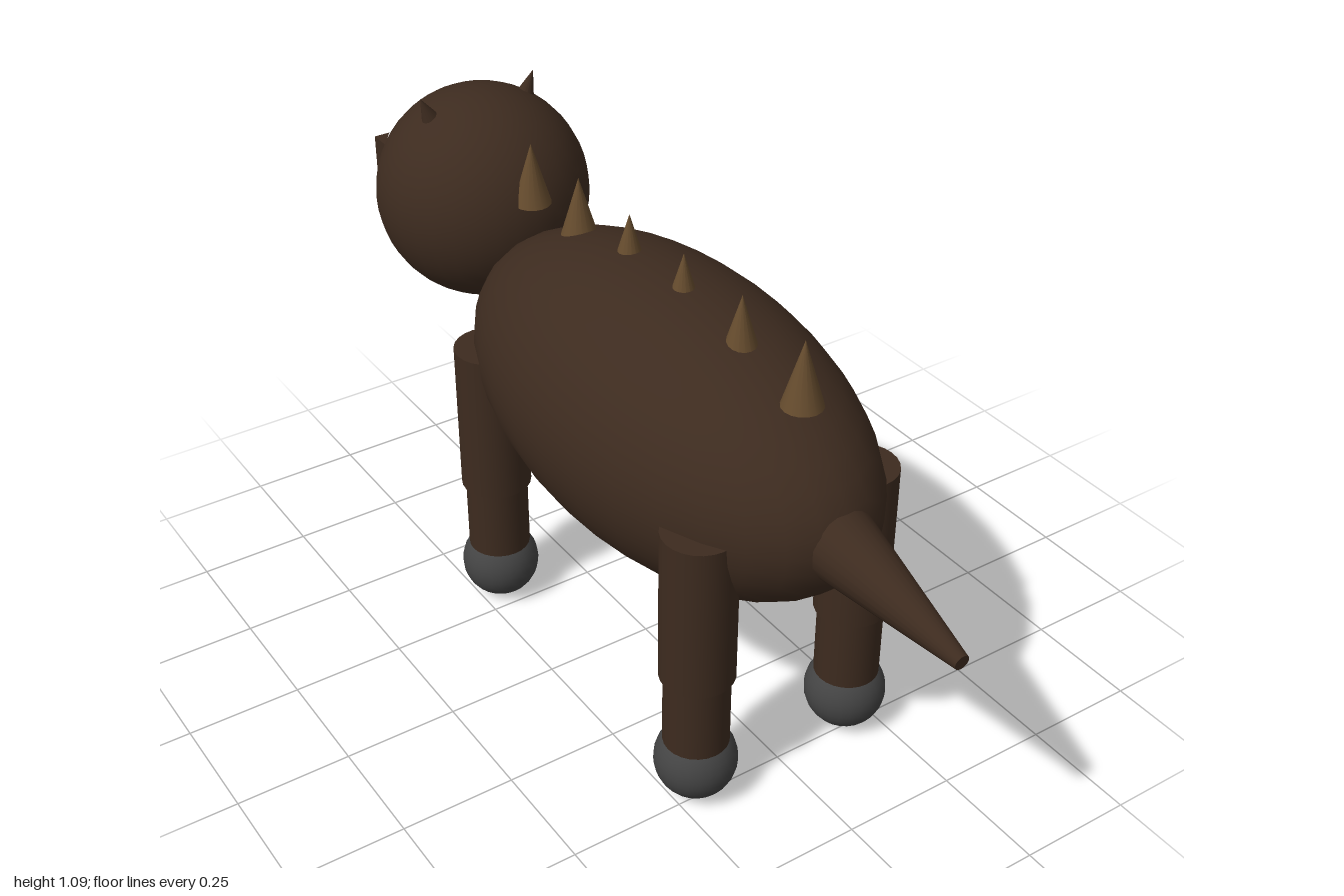
import * as THREE from 'three';

const mat = (name, color) => {
  const m = new THREE.MeshStandardMaterial({ color });
  m.name = name;
  return m;
};

export function createModel() {
  const hide = mat('dark brown hide', 0x3d2b1f);
  const horn = mat('tan horn', 0x664c2e);
  const hoof = mat('grey hoof', 0x444444);
  const white = mat('eye white', 0xffffff);

  const model = new THREE.Group();
  model.name = 'spikedBeast';

  const add = (name, geometry, material, x, y, z, parent = model) => {
    const mesh = new THREE.Mesh(geometry, material);
    mesh.name = name;
    mesh.position.set(x, y, z);
    parent.add(mesh);
    return mesh;
  };

  // Long oval body
  add('body', new THREE.SphereGeometry(0.303, 32, 24), hide, 0, 0.66, 0.08).scale.z = 2;

  // Head and blocky snout, facing -z
  add('head', new THREE.SphereGeometry(0.242, 32, 24), hide, 0, 0.836, -0.668);
  add('snout', new THREE.BoxGeometry(0.208, 0.14, 0.26), hide, 0, 0.79, -0.87);

  // Eyes and small ears tilted outwards
  const eyeGeo = new THREE.SphereGeometry(0.03, 16, 12);
  const earGeo = new THREE.ConeGeometry(0.036, 0.1, 16);
  for (const [side, s] of [['left', -1], ['right', 1]]) {
    add(side + 'Eye', eyeGeo, white, s * 0.1, 0.9, -0.872);
    add(side + 'Ear', earGeo, hide, s * 0.123, 1.044, -0.67).rotation.z = -s * 0.4;
  }

  // Tapered tail, drooping slightly towards the tip
  const start = new THREE.Vector3(0, 0.668, 0.6);
  const end = new THREE.Vector3(0, 0.62, 0.998);
  const dir = end.clone().sub(start);
  const tail = add('tail', new THREE.CylinderGeometry(0.016, 0.086, dir.length(), 24), hide, 0, 0, 0);
  tail.position.copy(start).add(end).multiplyScalar(0.5);
  tail.quaternion.setFromUnitVectors(new THREE.Vector3(0, 1, 0), dir.normalize());

  // Row of spikes along the back
  const spikeGeo = new THREE.ConeGeometry(0.042, 0.14, 16);
  for (let i = 0; i < 6; i++) {
    add('backSpike', spikeGeo, horn, 0, 0.966, 0.52 - i * 0.193);
  }

  // Four legs: thigh, shin and round foot
  const thighGeo = new THREE.CylinderGeometry(0.078, 0.078, 0.35, 24);
  const shinGeo = new THREE.CylinderGeometry(0.069, 0.069, 0.3, 24);
  const footGeo = new THREE.SphereGeometry(0.087, 24, 16);
  for (const x of [-0.193, 0.193]) {
    for (const [name, z] of [['frontLeg', -0.317], ['hindLeg', 0.475]]) {
      const leg = new THREE.Group();
      leg.name = name;
      leg.position.set(x, 0, z);
      add('thigh', thighGeo, hide, 0, 0.485, 0, leg);
      add('shin', shinGeo, hide, 0, 0.29, 0, leg);
      add('foot', footGeo, hoof, 0, 0.087, 0, leg);
      model.add(leg);
    }
  }

  return model;
}
